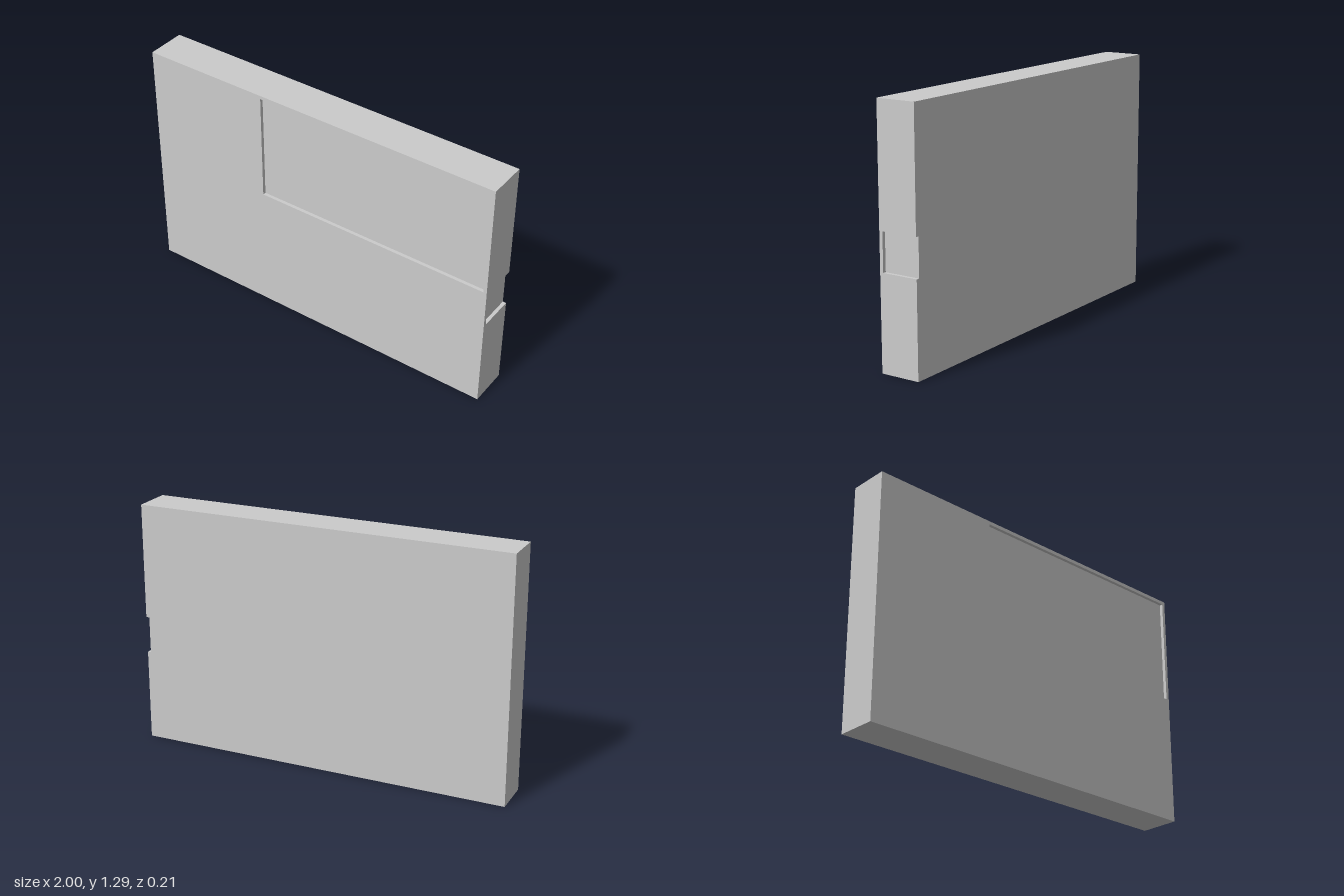
import * as THREE from 'three';

const W = 1, H = 1.288, D = 0.105; // half width, height, half depth
const STEP = 0.018;                // depth of the recess and of the notch

function polygon(points) {
  return new THREE.Shape(points.map(([x, y]) => new THREE.Vector2(x, y)));
}

function slab(name, shape, z0, z1, material) {
  const geometry = new THREE.ExtrudeGeometry(shape, { depth: z1 - z0, bevelEnabled: false });
  geometry.translate(0, 0, z0);
  const mesh = new THREE.Mesh(geometry, material);
  mesh.name = name;
  return mesh;
}

export function createModel() {
  const group = new THREE.Group();
  group.name = 'recessedPanel';
  const material = new THREE.MeshStandardMaterial({ color: 0xcccccc, flatShading: true });

  // Main body, with a shallow notch in its left edge that is open to the back
  const body = polygon([
    [-W, 0], [W, 0], [W, 0.485], [W - STEP, 0.485],
    [W - STEP, 0.68], [W, 0.68], [W, H], [-W, H],
  ]);
  group.add(slab('body', body, -D, D - STEP, material));

  // Front layer: its window forms the recess and its back closes the notch
  const front = polygon([[-W, 0], [W, 0], [W, H], [-W, H]]);
  front.holes.push(polygon([
    [-0.314, 0.692], [-0.314, H - STEP], [W - STEP, H - STEP], [W - STEP, 0.692],
  ]));
  group.add(slab('frontFrame', front, D - STEP, D, material));

  return group;
}
